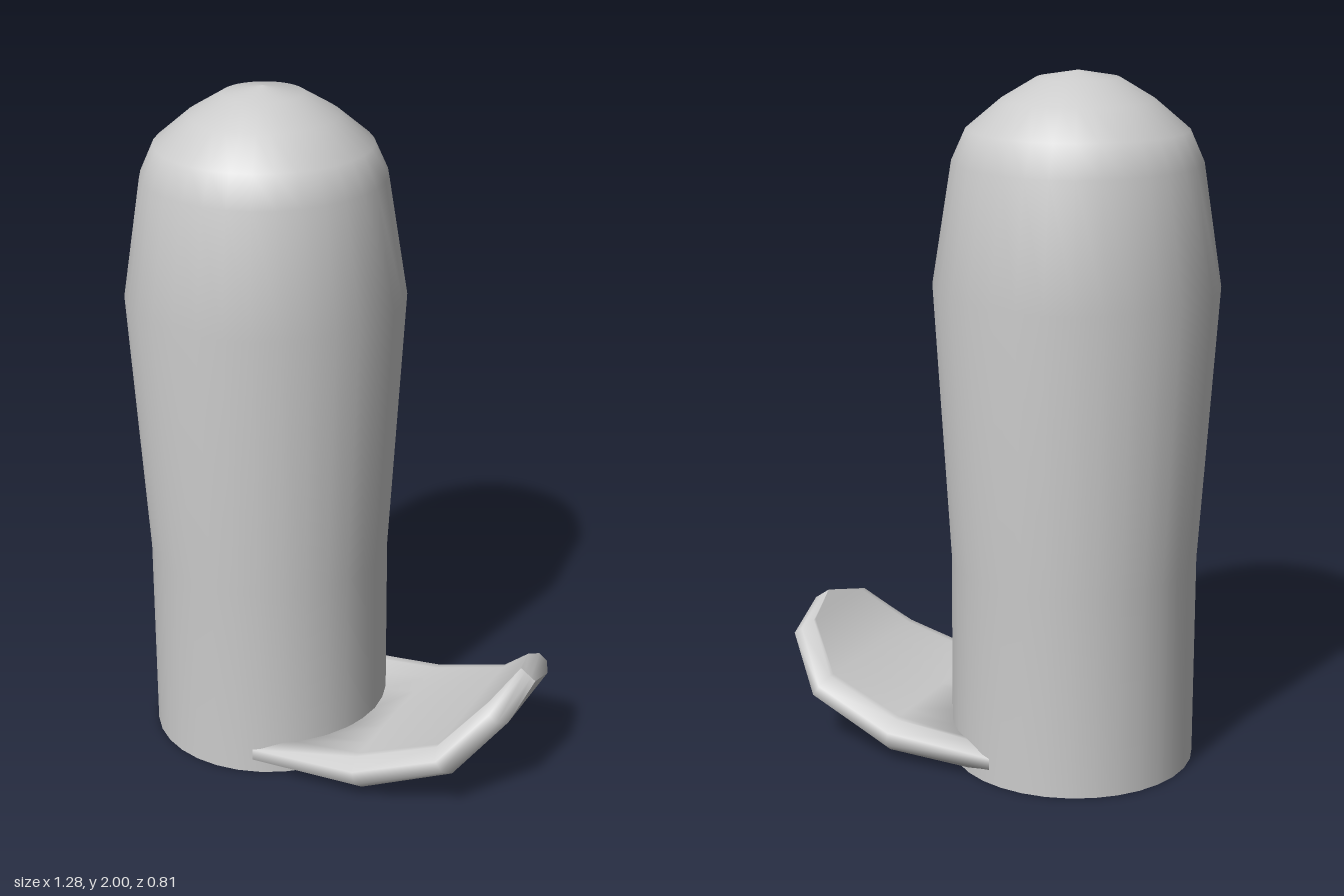
import * as THREE from 'three';

const BODY_X = -0.235;
const material = new THREE.MeshStandardMaterial({ color: 0xcccccc });

// Surface of revolution about the body axis
function lathe(name, profile) {
  const points = profile.map(([r, y]) => new THREE.Vector2(r, y));
  const mesh = new THREE.Mesh(new THREE.LatheGeometry(points, 32), material);
  mesh.name = name;
  return mesh;
}

// Curved plate: rounded cross-sections lofted from the body wall to the tip
function tongueGeometry() {
  const SPAN = 8, BEVEL = 0.04, WALL_R = 0.352;
  // centre x, centre y, half width, half thickness, tilt in degrees
  const stations = [
    [null, 0.058, 0.335, 0.043, 0],
    [0.21, 0.072, 0.335, 0.05, 11],
    [0.465, 0.165, 0.3, 0.045, 35],
    [0.585, 0.3, 0.195, 0.04, 52],
    [0.613, 0.35, 0, 0.028, 55],
  ];
  const positions = [], index = [];
  let ring = 0;
  for (const [cx, cy, w, h, tilt] of stations) {
    const inner = Math.max(w - BEVEL, 0);
    const upper = [[-w, h * 0.4]];
    for (let i = 0; i <= SPAN; i++) {
      upper.push([inner * Math.sin((i / SPAN - 0.5) * Math.PI), h]);
    }
    upper.push([w, h * 0.4]);
    const lower = upper.map(([z, y]) => [z, -y]).reverse();
    const loop = [...upper, ...lower];
    ring = loop.length;
    const a = THREE.MathUtils.degToRad(tilt);
    for (const [z, n] of loop) {
      // the first section wraps round the body
      const x = cx === null ? BODY_X + Math.sqrt(WALL_R ** 2 - z ** 2) : cx;
      positions.push(x - n * Math.sin(a), cy + n * Math.cos(a), z);
    }
  }
  for (let s = 0; s < stations.length - 1; s++) {
    for (let i = 0; i < ring; i++) {
      const j = (i + 1) % ring;
      const a = s * ring + i, b = s * ring + j;
      index.push(a, b, a + ring, b, b + ring, a + ring);
    }
  }
  // end face against the body
  for (let i = 0; i < ring / 2 - 1; i++) {
    const p = ring - 1 - i;
    index.push(i, p, i + 1, i + 1, p, p - 1);
  }
  const geometry = new THREE.BufferGeometry();
  geometry.setAttribute('position', new THREE.Float32BufferAttribute(positions, 3));
  geometry.setIndex(index);
  geometry.computeVertexNormals();
  return geometry;
}

export function createModel() {
  const model = new THREE.Group();
  model.name = 'hollowDomeWithTongue';

  // Hollow body, open at the bottom
  const body = new THREE.Group();
  body.name = 'body';
  body.position.x = BODY_X;
  body.add(
    lathe('outerShell', [
      [0.355, 0], [0.355, 0.6], [0.405, 1.4], [0.35, 1.75],
      [0.31, 1.84], [0.215, 1.92], [0.115, 1.98], [0, 2],
    ]),
    lathe('bottomRim', [[0.295, 0], [0.355, 0]]),
    lathe('innerShell', [
      [0, 1.94], [0.1, 1.92], [0.26, 1.8], [0.295, 1.72],
      [0.345, 1.4], [0.295, 0.6], [0.295, 0],
    ]),
  );
  model.add(body);

  // Upturned tongue at the foot
  const tongue = new THREE.Mesh(tongueGeometry(), material);
  tongue.name = 'tongue';
  model.add(tongue);
  return model;
}
